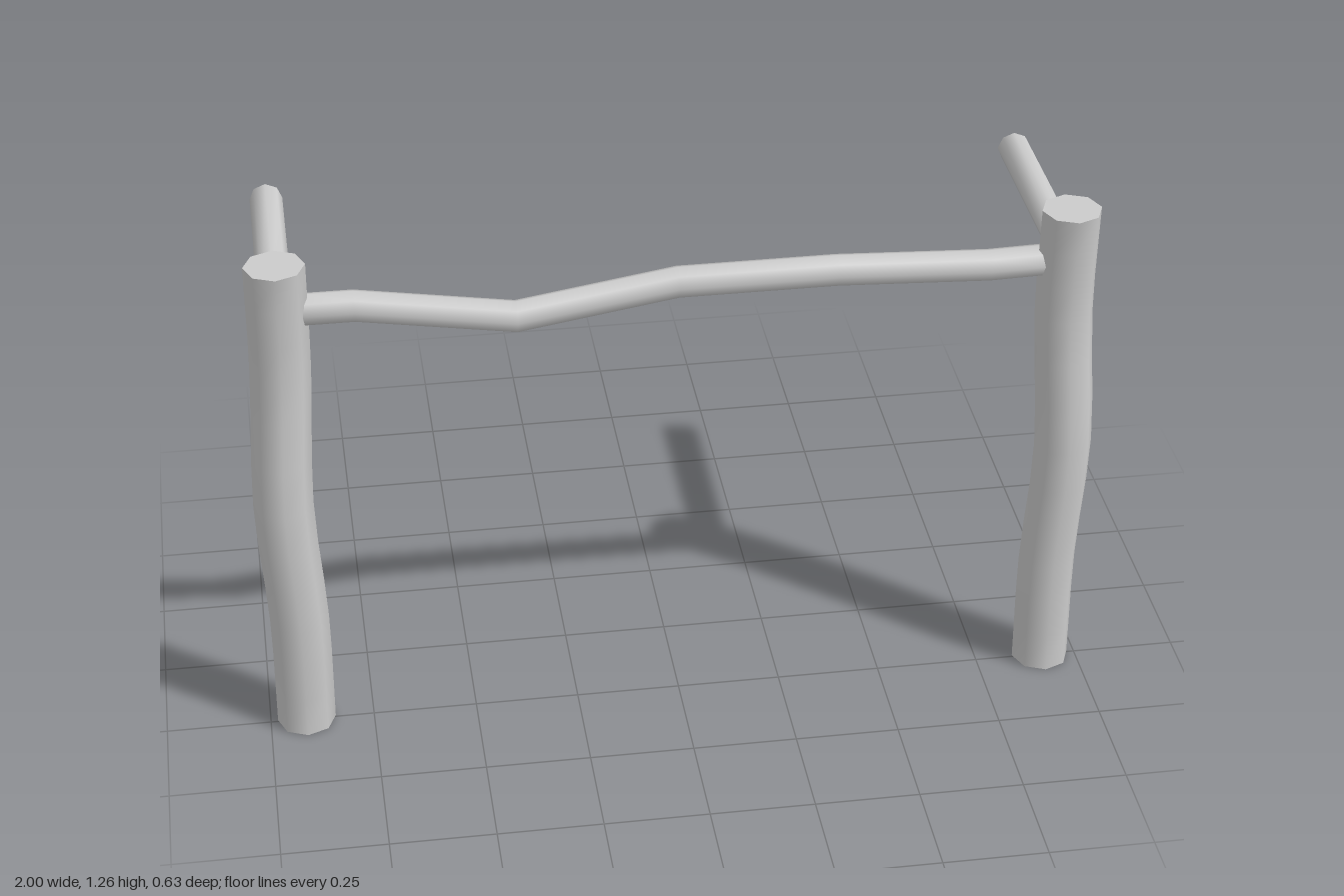
import * as THREE from 'three';
import { toCreasedNormals } from 'three/addons/utils/BufferGeometryUtils.js';

const material = new THREE.MeshStandardMaterial({ color: 0xcccccc });
const V = (x, y, z) => new THREE.Vector3(x, y, z);

// Eight-sided pole whose rings sit on the given points; `turn` rotates its axis from +y
function bentPole(name, points, radius, turn = new THREE.Euler()) {
  const n = points.length - 1;
  const geometry = new THREE.CylinderGeometry(radius, radius, n, 8, n);
  const pos = geometry.attributes.position;
  for (let i = 0; i < pos.count; i++) {
    const ring = Math.round(pos.getY(i) + n / 2);
    const p = V(pos.getX(i), 0, pos.getZ(i)).applyEuler(turn).add(points[ring]);
    pos.setXYZ(i, p.x, p.y, p.z);
  }
  const mesh = new THREE.Mesh(toCreasedNormals(geometry, 1), material);
  mesh.name = name;
  return mesh;
}

export function createModel() {
  const group = new THREE.Group();
  group.name = 'woodenFence';

  for (const [side, s] of [['left', 1], ['right', -1]]) {
    // Gently bowed upright post
    const path = new THREE.CatmullRomCurve3([
      V(s * 0.913, 0, 0.245), V(s * 0.913, 0.3, 0.245), V(s * 0.931, 0.63, 0.245),
      V(s * 0.915, 0.98, 0.224), V(s * 0.913, 1.26, 0.239),
    ]);
    group.add(bentPole(side + 'Post', path.getPoints(12), 0.07));

    // Straight side rail running back from the post
    group.add(bentPole(side + 'SideRail',
      [V(s * 0.915, 1.133, 0.22), V(s * 0.915, 1.133, -0.315)],
      0.039, new THREE.Euler(-Math.PI / 2, 0, 0)));
  }

  // Crooked cross rail between the posts
  group.add(bentPole('crossRail', [
    V(-0.86, 1.135, 0.225), V(-0.74, 1.135, 0.225), V(-0.375, 1.088, 0.245),
    V(0, 1.135, 0.224), V(0.37, 1.135, 0.223), V(0.73, 1.116, 0.218), V(0.86, 1.121, 0.22),
  ], 0.038, new THREE.Euler(0, 0, -Math.PI / 2)));

  return group;
}
